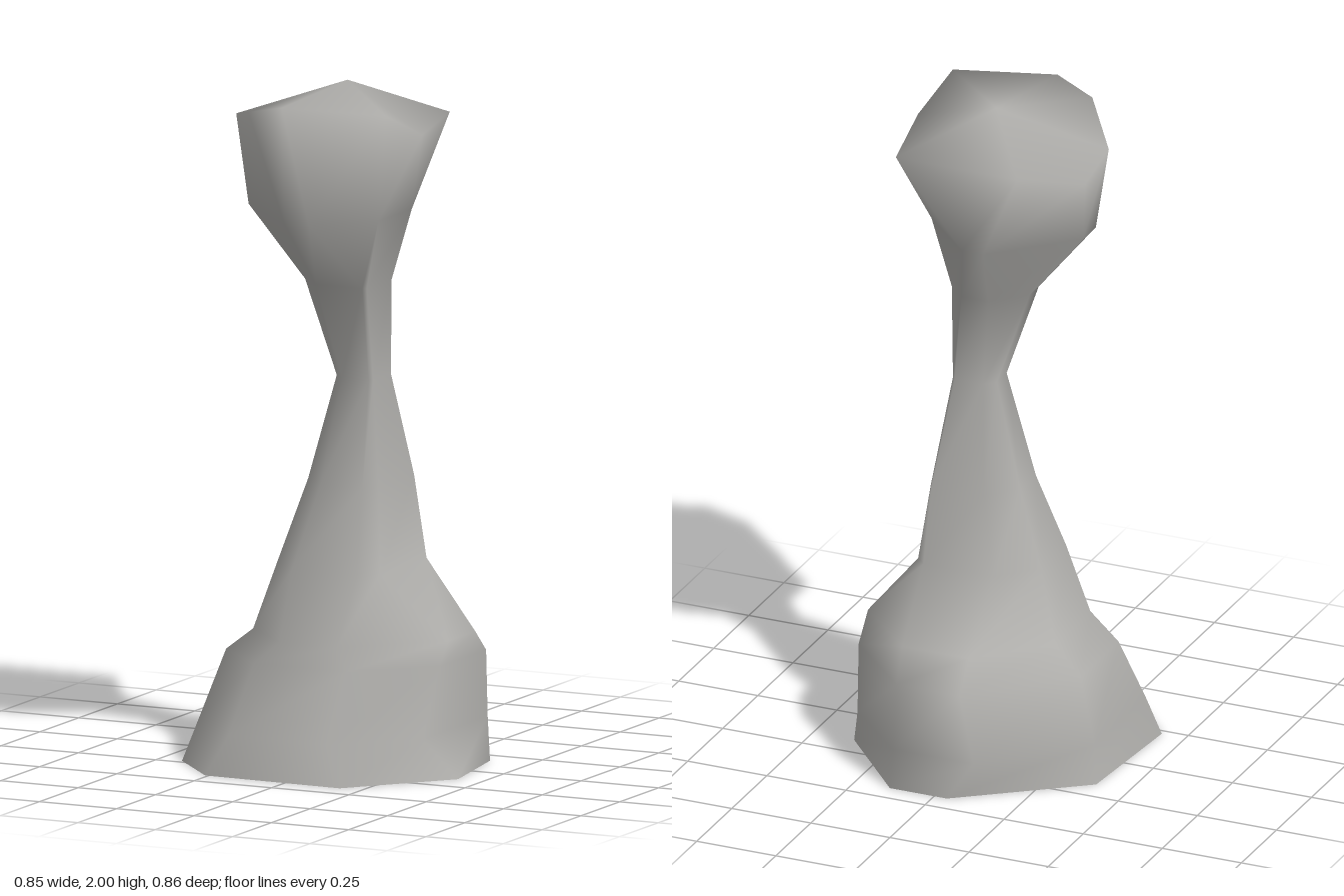
import * as THREE from 'three';

// Eight-sided cross-section at height y: a box x0..x1, z0..z1 whose corners are
// cut where x+z = frontLeft, x-z = backLeft, z-x = frontRight, -x-z = backRight
function cutBox([y, x0, x1, z0, z1, frontLeft, backLeft, frontRight, backRight]) {
  return [
    [backLeft + z0, y, z0], [x1, y, x1 - backLeft],
    [x1, y, frontLeft - x1], [frontLeft - z1, y, z1],
    [z1 - frontRight, y, z1], [x0, y, x0 + frontRight],
    [x0, y, -backRight - x0], [-backRight - z0, y, z0],
  ];
}

export function createModel() {
  const group = new THREE.Group();
  group.name = 'rockPillar';
  const stone = new THREE.MeshStandardMaterial({ color: 0xb0afac, side: THREE.DoubleSide });
  stone.name = 'grey stone';

  // Irregular foot, open underneath
  const foot = [
    [0.14, 0, -0.435], [0.37, 0, -0.17], [0.42, 0, 0.135], [0.18, 0, 0.42],
    [-0.26, 0, 0.41], [-0.425, 0, 0.23], [-0.395, 0, -0.17], [-0.04, 0, -0.435],
  ];
  // Ledge, then the neck that narrows and widens again below the head
  const body = [
    [0.12, -0.385, 0.335, -0.425, 0.4, 0.53, 0.56, 0.59, 0.545],
    [0.32, -0.335, 0.345, -0.41, 0.305, 0.45, 0.54, 0.46, 0.48],
    [0.39, -0.24, 0.355, -0.3, 0.31, 0.425, 0.46, 0.38, 0.35],
    [0.59, -0.165, 0.19, -0.15, 0.23, 0.37, 0.31, 0.3, 0.21],
    [0.83, -0.1, 0.15, -0.125, 0.145, 0.26, 0.27, 0.165, 0.145],
    [1.14, -0.01, 0.12, -0.04, 0.095, 0.205, 0.15, 0.07, 0.02],
    [1.42, -0.1, 0.13, -0.07, 0.155, 0.275, 0.145, 0.185, 0.08],
    [1.63, -0.27, 0.19, -0.2, 0.34, 0.38, 0.215, 0.38, 0.25],
  ].map(cutBox);
  // Tilted rim of the head
  const rim = [
    [0.225, 1.89, -0.2], [0.297, 1.88, 0.12], [0.26, 1.96, 0.285], [-0.04, 1.97, 0.355],
    [-0.17, 1.94, 0.31], [-0.315, 1.89, 0.1], [-0.307, 1.84, -0.05], [-0.16, 1.89, -0.205],
  ];

  // Skin between the cross-sections, closed by a low peak
  const rings = [foot, ...body, rim];
  const n = foot.length;
  const peak = rings.length * n;
  const index = [];
  rings.forEach((ring, r) => {
    for (let i = 0; i < n; i++) {
      const a = r * n + i;
      const b = r * n + (i + 1) % n;
      if (ring === rim) index.push(a, peak, b);
      else index.push(a, a + n, b, b, a + n, b + n);
    }
  });
  const points = [...rings.flat(), [0, 2, 0.01]];
  const geometry = new THREE.BufferGeometry();
  geometry.setAttribute('position', new THREE.Float32BufferAttribute(points.flat(), 3));
  geometry.setIndex(index);
  geometry.computeVertexNormals();

  const pillar = new THREE.Mesh(geometry, stone);
  pillar.name = 'pillar';
  group.add(pillar);
  return group;
}
